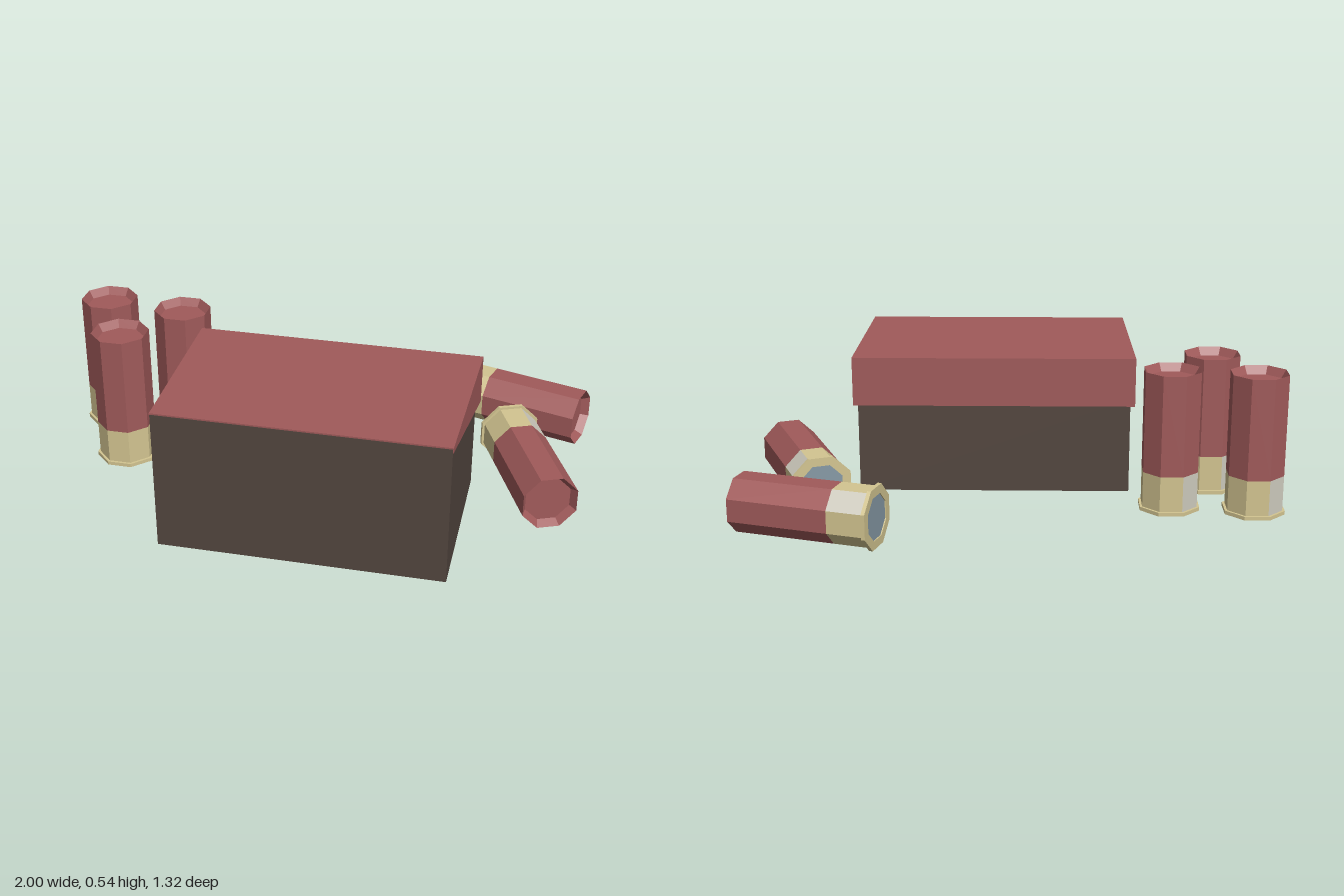
import * as THREE from 'three';

const mat = (name, color) => {
  const m = new THREE.MeshStandardMaterial({ color });
  m.name = name;
  return m;
};

// Unshared vertices give hard, faceted edges
function faceted(geometry) {
  const g = geometry.toNonIndexed();
  g.computeVertexNormals();
  return g;
}

function addMesh(parent, name, geometry, material) {
  const mesh = new THREE.Mesh(faceted(geometry), material);
  mesh.name = name;
  parent.add(mesh);
  return mesh;
}

// Eight-sided turned part with flats facing the axes
const SIDES = 8;
const turned = (...profile) => new THREE.LatheGeometry(
  profile.map(([r, y]) => new THREE.Vector2(r, y)), SIDES, -Math.PI / SIDES);

// Box whose front and back ends have their own half width, bottom and top
function taperedBox(front, back) {
  const g = new THREE.BoxGeometry(2, 2, 2);
  const p = g.attributes.position;
  for (let i = 0; i < p.count; i++) {
    const end = p.getZ(i) > 0 ? front : back;
    p.setXYZ(i, p.getX(i) * end.half, p.getY(i) > 0 ? end.top : end.bottom, end.z);
  }
  return g;
}

export function createModel() {
  const red = mat('red', 0xa05a5a);
  const brass = mat('brass', 0xd3c591);
  const shine = mat('pale metal', 0xcfccbf);
  const steel = mat('blue grey metal', 0x8699a5);
  const card = mat('dark card', 0x53463f);

  const model = new THREE.Group();
  model.name = 'cartridgeBoxSet';

  // Carton with a sloping lid that is deeper at the back
  const carton = new THREE.Group();
  carton.name = 'carton';
  carton.position.x = 0.075;
  model.add(carton);
  addMesh(carton, 'cartonBody', taperedBox(
    { half: 0.515, bottom: 0.012, top: 0.54, z: 0.655 },
    { half: 0.515, bottom: 0.012, top: 0.38, z: 0 }), card);
  addMesh(carton, 'cartonLid', taperedBox(
    { half: 0.517, bottom: 0.525, top: 0.545, z: 0.653 },
    { half: 0.532, bottom: 0.355, top: 0.54, z: -0.015 }), red);

  // One cartridge standing on its base
  const R = 0.109, RIM = 0.119, LENGTH = 0.528, BRASS = 0.148;
  function cartridge(name) {
    const shell = new THREE.Group();
    shell.name = name;
    // Tube with a sunken crimped end
    addMesh(shell, 'hull', turned(
      [R, BRASS], [R, LENGTH], [0.09, LENGTH - 0.03], [0, LENGTH - 0.03]), red);
    // Metal cup with one pale facet
    const cup = new THREE.CylinderGeometry(R, R, BRASS - 0.012, SIDES, 1, true, -Math.PI / SIDES);
    cup.translate(0, (BRASS + 0.012) / 2, 0);
    cup.clearGroups();
    for (let i = 0; i < SIDES; i++) cup.addGroup(i * 6, 6, i === 5 ? 1 : 0);
    addMesh(shell, 'metalCup', cup, [brass, shine]);
    addMesh(shell, 'rim', turned(
      [0.085, 0.004], [0.085, 0], [RIM, 0], [RIM, 0.014], [R, 0.014]), brass);
    addMesh(shell, 'primer', turned([0, 0.004], [0.085, 0.004]), steel);
    model.add(shell);
    return shell;
  }

  // Standing cartridges
  [[-0.89, -0.195], [-0.58, -0.16], [-0.75, 0.08]].forEach(([x, z], i) => {
    cartridge('standingCartridge' + (i + 1)).position.set(x, 0.012, z);
  });

  // Lying cartridges: base point, then a point at the crimped end
  const up = new THREE.Vector3(0, 1, 0);
  [[0.463, -0.555, 0.967, -0.405], [0.70, -0.245, 0.90, 0.237]].forEach(([x0, z0, x1, z1], i) => {
    const shell = cartridge('lyingCartridge' + (i + 1));
    const axis = new THREE.Vector3(x1 - x0, 0, z1 - z0).normalize();
    const right = axis.clone().cross(up);
    shell.quaternion.setFromRotationMatrix(
      new THREE.Matrix4().makeBasis(up.clone().negate(), axis, right));
    shell.position.set(x0, 0.112, z0);
  });

  return model;
}
